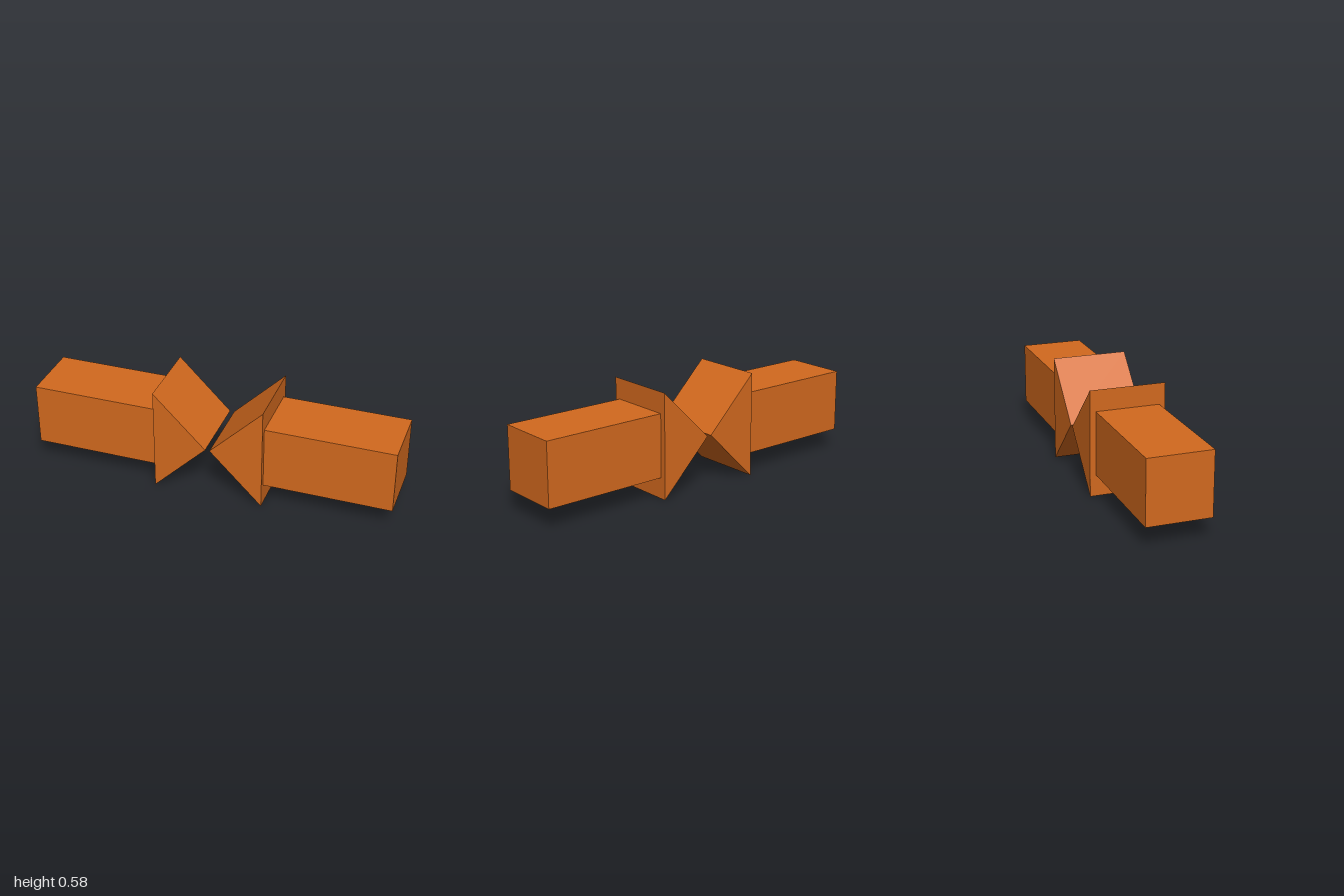
import * as THREE from 'three';

const MID_Y = 0.29;

export function createModel() {
  const model = new THREE.Group();
  const material = new THREE.MeshStandardMaterial({ color: 0xd2691e, flatShading: true });

  // Square shaft running outwards from the arrowhead base
  const shaftGeometry = new THREE.BoxGeometry(0.7, 0.348, 0.348);
  shaftGeometry.translate(0.65, MID_Y, 0);

  // Triangular wedge with its edge pointing at the centre
  const profile = new THREE.Shape([
    new THREE.Vector2(0.012, MID_Y),
    new THREE.Vector2(0.302, 0),
    new THREE.Vector2(0.302, 2 * MID_Y),
  ]);
  const headGeometry = new THREE.ExtrudeGeometry(profile, { depth: 0.412, bevelEnabled: false });
  headGeometry.translate(0, 0, -0.206);

  // Two arrows facing each other, half a turn apart
  for (const [side, turn] of [['left', 0], ['right', Math.PI]]) {
    const arrow = new THREE.Group();
    arrow.name = `${side}Arrow`;
    const shaft = new THREE.Mesh(shaftGeometry, material);
    shaft.name = `${side}Shaft`;
    const head = new THREE.Mesh(headGeometry, material);
    head.name = `${side}Arrowhead`;
    arrow.add(shaft, head);
    arrow.rotation.y = turn;
    model.add(arrow);
  }

  return model;
}
